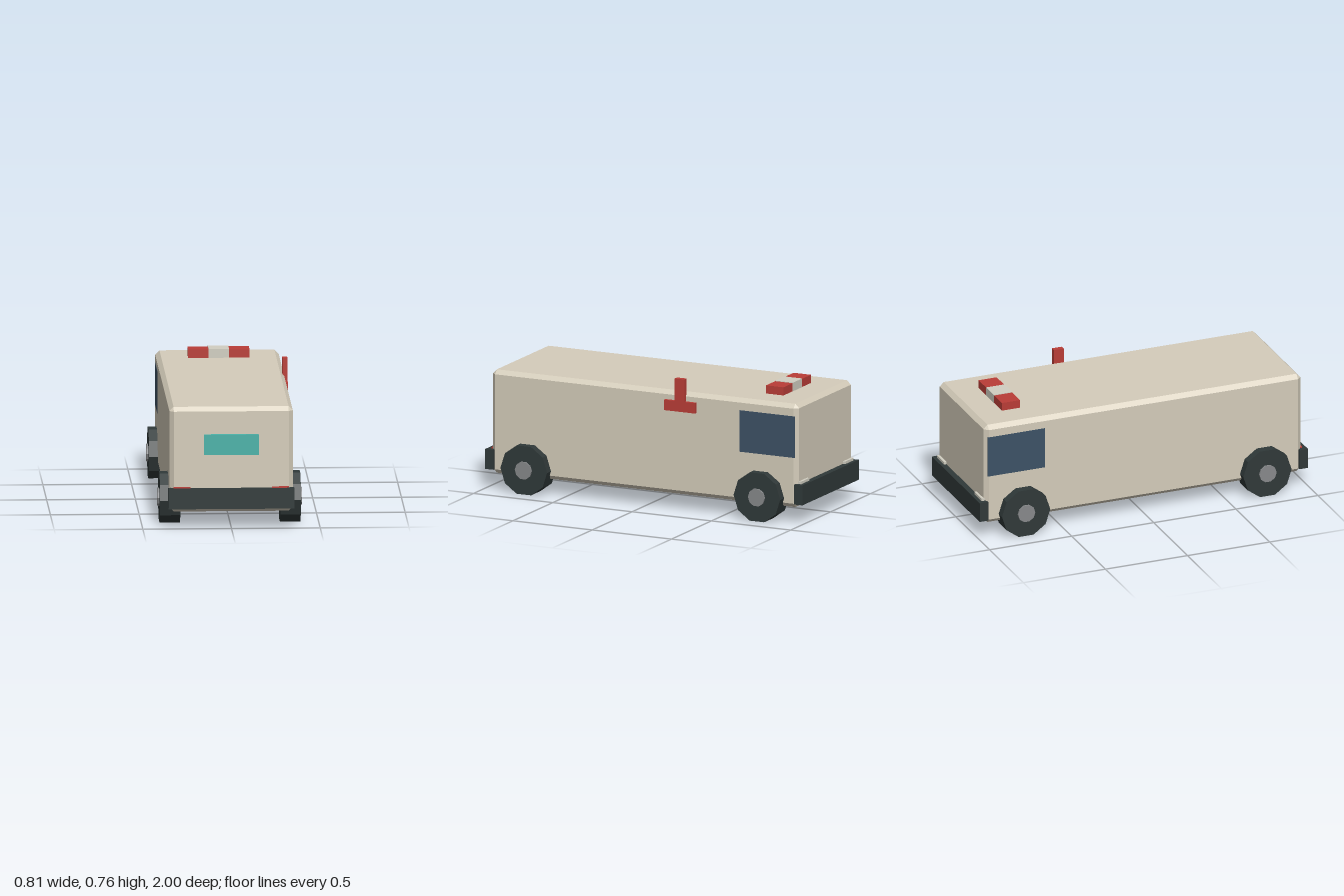
import * as THREE from 'three';
import { ConvexGeometry } from 'three/addons/geometries/ConvexGeometry.js';

const material = (name, color, flatShading = false) => {
  const m = new THREE.MeshStandardMaterial({ color, flatShading });
  m.name = name;
  return m;
};

export function createModel() {
  const beige = material('beige paint', 0xd5cdbb);
  const cream = material('cream lens', 0xd2cfc2);
  const red = material('red', 0xba3d37);
  const teal = material('teal', 0x4ab3a9);
  const dark = material('dark rubber', 0x303939, true);
  const glass = material('blue glass', 0x3d5266);
  const grey = material('grey metal', 0x87898b, true);

  const model = new THREE.Group();
  model.name = 'van';

  const add = (name, geometry, mat, x = 0, y = 0, z = 0) => {
    const mesh = new THREE.Mesh(geometry, mat);
    mesh.name = name;
    mesh.position.set(x, y, z);
    model.add(mesh);
    return mesh;
  };
  // Box given by its limits on each axis
  const box = (name, mat, [x0, x1], [y0, y1], [z0, z1]) =>
    add(name, new THREE.BoxGeometry(x1 - x0, y1 - y0, z1 - z0), mat,
      (x0 + x1) / 2, (y0 + y1) / 2, (z0 + z1) / 2);

  // Body: a box with every edge chamfered
  const half = [0.348, 0.299, 0.965];
  const chamfer = 0.024;
  const corners = [];
  for (const sx of [-1, 1]) for (const sy of [-1, 1]) for (const sz of [-1, 1]) {
    for (let face = 0; face < 3; face++) {
      const [x, y, z] = half.map((h, axis) => (axis === face ? h : h - chamfer));
      corners.push(new THREE.Vector3(sx * x, sy * y, sz * z));
    }
  }
  add('body', new ConvexGeometry(corners), beige, 0, 0.389, 0);

  // Front panel and bumpers
  box('frontPanel', teal, [-0.154, 0.154], [0.419, 0.534], [0.955, 0.99]);
  box('frontBumper', dark, [-0.355, 0.355], [0.112, 0.227], [0.948, 1]);
  box('rearBumper', dark, [-0.355, 0.355], [0.112, 0.227], [-1, -0.948]);

  // Paired lamps and side windows
  for (const s of [-1, 1]) {
    const side = s > 0 ? 'left' : 'right';
    const span = (a, b) => (s > 0 ? [a, b] : [-b, -a]);
    box(side + 'FrontLamp', red, span(0.23, 0.325), [0.18, 0.234], [0.95, 0.976]);
    box(side + 'RearLamp', cream, span(0.225, 0.33), [0.18, 0.242], [-0.98, -0.95]);
    box(side + 'Window', glass, span(0.342, 0.3495), [0.38, 0.62], [-0.947, -0.6]);
  }

  // Roof light bar
  box('lightBarCentre', cream, [-0.058, 0.058], [0.68, 0.738], [-0.792, -0.678]);
  box('lightBarLeft', red, [0.058, 0.173], [0.68, 0.735], [-0.79, -0.68]);
  box('lightBarRight', red, [-0.173, -0.058], [0.68, 0.735], [-0.79, -0.68]);

  // Side sign: upright on a foot
  box('signFoot', red, [0.338, 0.367], [0.575, 0.635], [-0.33, -0.135]);
  box('signUpright', red, [0.338, 0.367], [0.635, 0.765], [-0.262, -0.202]);

  // Ten-sided wheels with hubs, axis along x, flat side down
  const tyre = new THREE.CylinderGeometry(0.147, 0.147, 0.115, 10);
  const hub = new THREE.CylinderGeometry(0.052, 0.052, 0.03, 10);
  for (const g of [tyre, hub]) g.rotateZ(Math.PI / 2).rotateX(Math.PI / 10 + Math.PI / 2);
  tyre.computeBoundingBox();
  // Keep a flat facet on the ground whichever way the rotation falls
  if (tyre.boundingBox.max.y > 0.145) for (const g of [tyre, hub]) g.rotateX(Math.PI / 10);
  for (const s of [-1, 1]) for (const z of [-0.735, 0.735]) {
    const name = (z > 0 ? 'front' : 'rear') + (s > 0 ? 'Left' : 'Right');
    add(name + 'Tyre', tyre, dark, s * 0.3395, 0.14, z);
    add(name + 'Hub', hub, grey, s * 0.392, 0.14, z);
  }
  return model;
}
